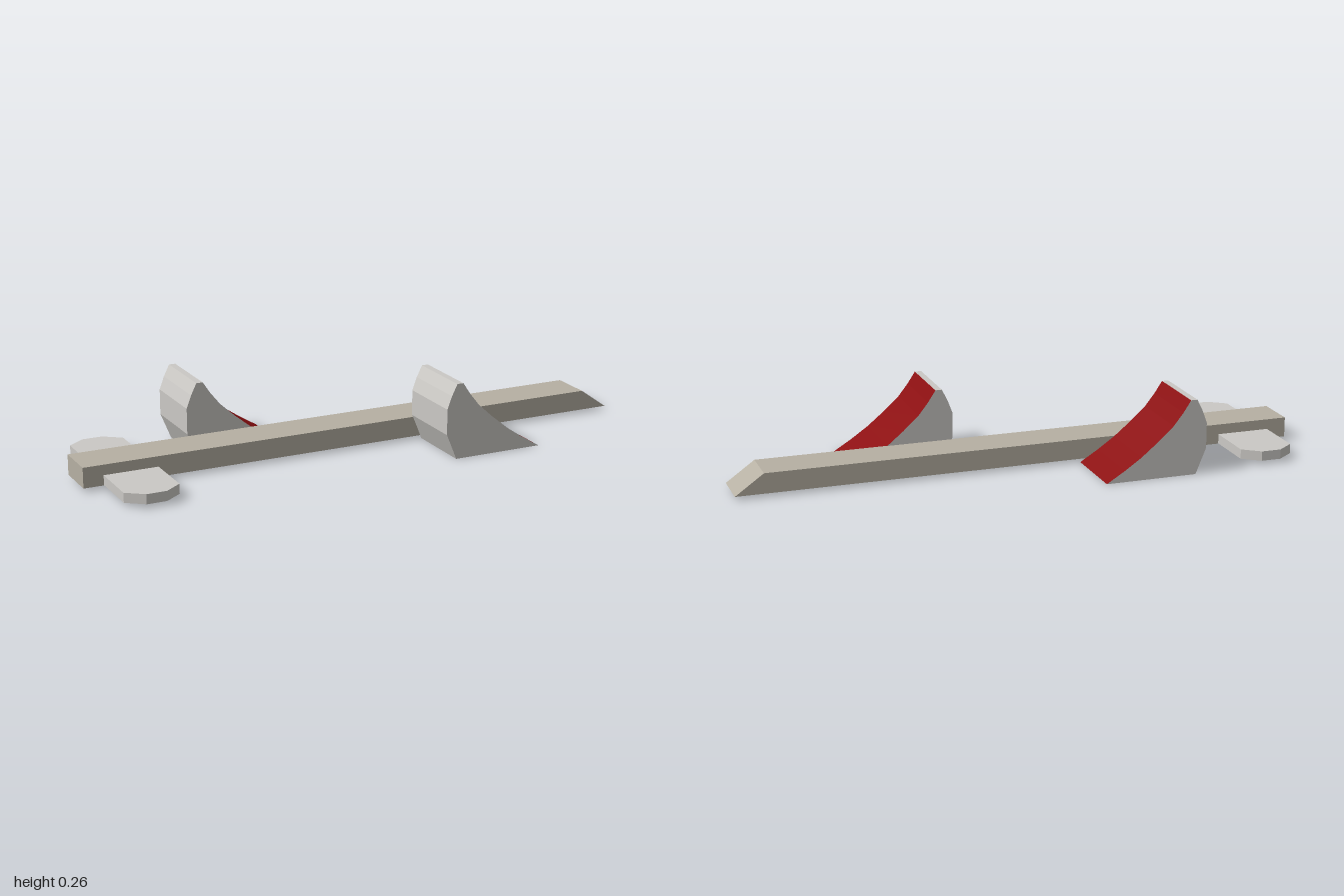
import * as THREE from 'three';

const mat = (name, color) => {
  const m = new THREE.MeshStandardMaterial({ color });
  m.name = name;
  return m;
};

const shapeOf = (points) => new THREE.Shape(points.map(([x, y]) => new THREE.Vector2(x, y)));

// Straight extrusion along z, from z0 to z0 + depth
function extrude(points, depth, z0) {
  const g = new THREE.ExtrudeGeometry(shapeOf(points), { depth, bevelEnabled: false });
  g.translate(0, 0, z0);
  return g;
}

// Gives the sloping faces (turned to +x and up) the second material
function paintSlope(g) {
  const n = g.attributes.normal;
  g.clearGroups();
  for (let i = 0; i < n.count; i += 3) {
    g.addGroup(i, 3, n.getX(i) > 0.2 && n.getY(i) > 0.2 ? 1 : 0);
  }
  return g;
}

export function createModel() {
  const group = new THREE.Group();
  const beige = mat('beige', 0xb6b0a3);
  const lightGrey = mat('light grey', 0xcbc9c5);
  const darkRed = mat('dark red', 0x8c0e10);

  const add = (name, geometry, material) => {
    const mesh = new THREE.Mesh(geometry, material);
    mesh.name = name;
    group.add(mesh);
    return mesh;
  };

  // Long beam with a slanted nose
  add('beam', extrude([[-1, 0.012], [1, 0.012], [0.9, 0.083], [-1, 0.083]], 0.15, -0.075), beige);

  // Flat crossbar with chamfered ends
  const cross = new THREE.ExtrudeGeometry(shapeOf([
    [-0.93, -0.26], [-0.87, -0.305], [-0.8, -0.305], [-0.74, -0.26],
    [-0.74, 0.26], [-0.8, 0.305], [-0.87, 0.305], [-0.93, 0.26],
  ]), { depth: 0.034, bevelEnabled: false });
  cross.rotateX(-Math.PI / 2);
  cross.translate(0, 0.013, 0);
  add('crossbar', cross, lightGrey);

  // Curved footrests, one on each side and staggered along the beam
  const profile = [
    [0.24, 0], [0.565, 0], [0.5, 0.04], [0.44, 0.081], [0.38, 0.13], [0.325, 0.18],
    [0.29, 0.224], [0.263, 0.265], [0.24, 0.265], [0.22, 0.225], [0.203, 0.18], [0.203, 0.09],
  ];
  for (const [name, x, z0] of [['frontFootrest', 0, 0.073], ['rearFootrest', -0.78, -0.325]]) {
    add(name, paintSlope(extrude(profile, 0.25, z0)), [lightGrey, darkRed]).position.x = x;
  }

  return group;
}
